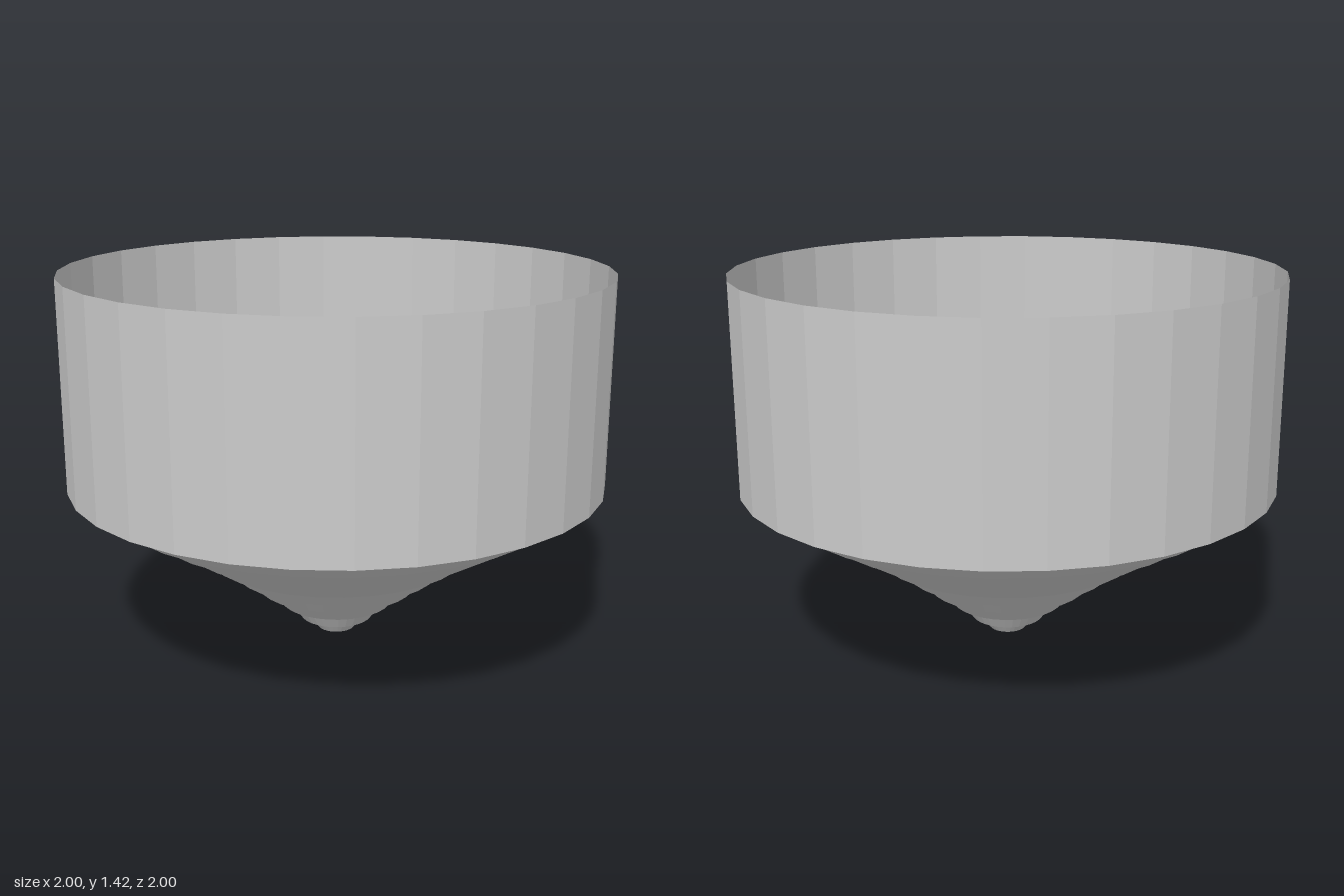
import * as THREE from 'three';

const SIDES = 32;

export function createModel() {
  const model = new THREE.Group();
  const material = new THREE.MeshStandardMaterial({
    color: 0xcccccc, flatShading: true, side: THREE.DoubleSide,
  });

  // Open thin shell revolved from [radius, height] points, bottom to top
  const addShell = (name, profile) => {
    const points = profile.map(([r, y]) => new THREE.Vector2(r, y));
    const mesh = new THREE.Mesh(new THREE.LatheGeometry(points, SIDES), material);
    mesh.name = name;
    model.add(mesh);
  };

  // Terraced funnel: shallow ledges alternating with steep risers
  addShell('steppedFunnel', [
    [0, 0], [0.03, 0.004], [0.07, 0.021], [0.097, 0.059], [0.138, 0.07],
    [0.172, 0.122], [0.214, 0.134], [0.261, 0.19], [0.308, 0.203],
    [0.354, 0.258], [0.403, 0.273], [0.455, 0.331], [0.508, 0.346],
    [0.567, 0.403], [0.618, 0.417], [0.678, 0.475], [0.738, 0.488],
    [0.8, 0.546], [0.861, 0.56], [0.92, 0.619], [1, 0.64],
  ]);

  // Tall wall, open at the top
  addShell('cylinderWall', [[1, 0.64], [1, 1.418]]);

  return model;
}
